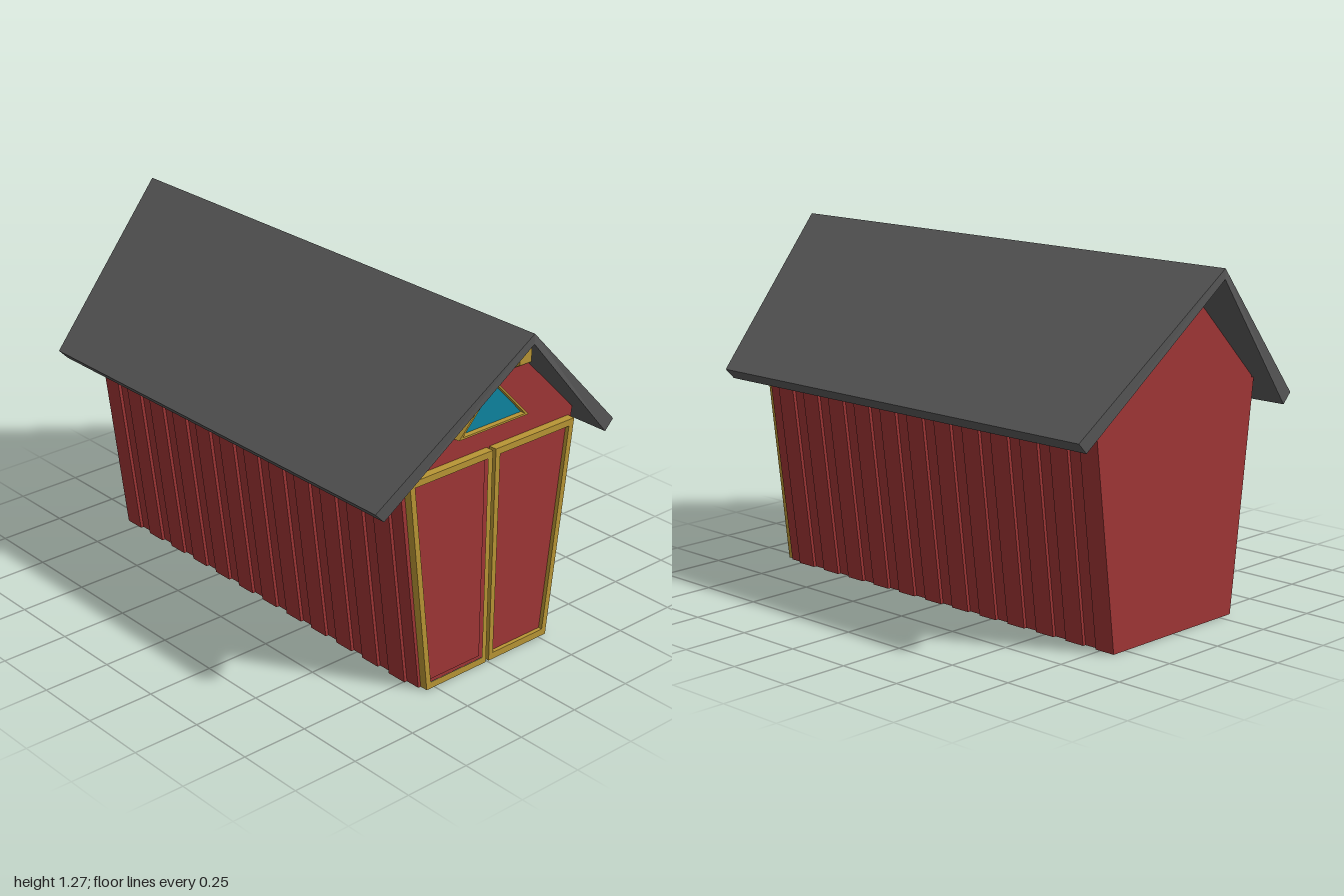
import * as THREE from 'three';

const paint = (color) => new THREE.MeshStandardMaterial({ color, flatShading: true });
const RED = paint(0x9e3535), YELLOW = paint(0xb89534), GREY = paint(0x5a5a5a), TEAL = paint(0x0d84a0), BROWN = paint(0x6b5a22);

const END = 0.81;                 // half length of the walls
const LEAN = 0.125;               // outward lean of the side walls per unit height

const toShape = (pts) => new THREE.Shape(pts.map(([x, y]) => new THREE.Vector2(x, y)));

// Extrude an outline (with an optional hole) from z0 to z1
function slab(name, material, pts, z0, z1, hole) {
  const shape = toShape(pts);
  if (hole) shape.holes.push(toShape(hole));
  const geometry = new THREE.ExtrudeGeometry(shape, { depth: z1 - z0, bevelEnabled: false });
  geometry.translate(0, 0, z0);
  const mesh = new THREE.Mesh(geometry, material);
  mesh.name = name;
  return mesh;
}

// Change every vertex by a rule
function reshape(geometry, rule) {
  const p = geometry.attributes.position;
  const v = new THREE.Vector3();
  for (let i = 0; i < p.count; i++) {
    rule(v.fromBufferAttribute(p, i));
    p.setXYZ(i, v.x, v.y, v.z);
  }
  geometry.computeVertexNormals();
  return geometry;
}

// Raised vertical boards on one leaning side wall
function siding(side) {
  const group = new THREE.Group();
  group.name = side > 0 ? 'leftSiding' : 'rightSiding';
  const count = 12, pitch = 2 * END / count, width = 0.079, height = 0.83;
  for (let i = 0; i < count; i++) {
    const geometry = new THREE.BoxGeometry(0.03, height, width);
    geometry.translate(side * 0.293, height / 2, -END + width / 2 + i * pitch);
    reshape(geometry, (v) => { v.x += side * LEAN * v.y; });
    const board = new THREE.Mesh(geometry, RED);
    board.name = 'sidingBoard';
    group.add(board);
  }
  return group;
}

// Barn door: flared frame around a recessed panel
function door(side) {
  const group = new THREE.Group();
  group.name = side > 0 ? 'leftDoor' : 'rightDoor';
  const outline = [[0.007, 0], [0.285, 0], [0.38, 0.808], [0.007, 0.808]];
  const inner = [[0.026, 0.025], [0.267, 0.025], [0.356, 0.784], [0.028, 0.784]];
  const flip = (pts) => pts.map(([x, y]) => [side * x, y]);
  group.add(slab('doorFrame', YELLOW, flip(outline), END - 0.01, 0.84, flip(inner)));
  group.add(slab('doorPanel', RED, flip(inner), END - 0.01, 0.825));
  return group;
}

export function createModel() {
  const barn = new THREE.Group();
  barn.name = 'barn';

  // Walls with gable ends
  barn.add(slab('walls', RED,
    [[-0.296, 0], [0.296, 0], [0.4, 0.836], [0, 1.236], [-0.4, 0.836]], -END, END));
  for (const side of [-1, 1]) barn.add(siding(side), door(side));

  // Gable roof, overhanging further at the ridge than at the eaves
  const roof = slab('roof', GREY,
    [[0, 1.272], [-0.55, 0.763], [-0.513, 0.725], [0, 1.236], [0.513, 0.725], [0.55, 0.763]], -1, 1);
  reshape(roof.geometry, (v) => { v.z *= 1 - 0.135 * Math.min(Math.abs(v.x) / 0.513, 1); });
  barn.add(roof);

  // Triangular gable window
  const windowGroup = new THREE.Group();
  windowGroup.name = 'gableWindow';
  const pane = [[-0.144, 0.894], [0.144, 0.894], [0, 1.045]];
  windowGroup.add(
    slab('windowFrame', YELLOW, [[-0.16, 0.887], [0.16, 0.887], [0, 1.054]], END - 0.01, 0.835, pane),
    slab('windowGlass', TEAL, pane, END - 0.01, 0.815));
  barn.add(windowGroup);

  // Hoist beam under the ridge, its underside sloping back to the wall
  const beam = slab('hoistBeam', YELLOW,
    [[-END, 1.07], [-END, 1.213], [-0.965, 1.213], [-0.965, 1.16]], -0.026, 0.026);
  beam.geometry.rotateY(Math.PI / 2);
  barn.add(beam);
  const soffit = new THREE.Mesh(new THREE.BoxGeometry(0.052, 0.004, Math.hypot(0.155, 0.09)), BROWN);
  soffit.name = 'hoistBeamUnderside';
  soffit.position.set(0, 1.114, (END + 0.965) / 2);
  soffit.rotation.x = -Math.atan2(0.09, 0.155);
  barn.add(soffit);

  return barn;
}
